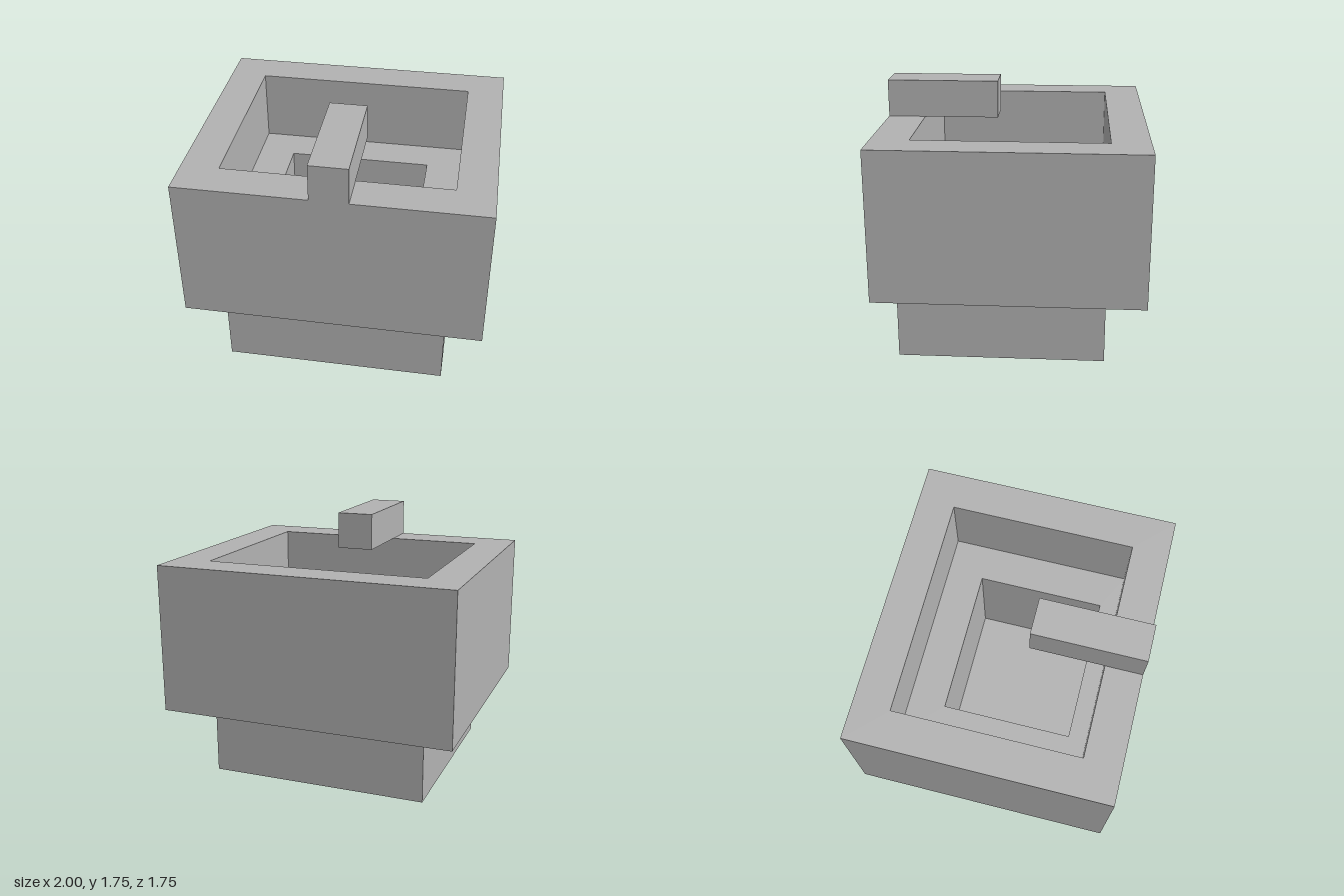
import * as THREE from 'three';
import { mergeGeometries } from 'three/addons/utils/BufferGeometryUtils.js';

// Rectangles in plan: half width, back z, front z
const BODY = { x: 1, z0: -0.875, z1: 0.875 };
const BASE = { x: 0.75, z0: -0.625, z1: 0.75 };
const BASIN = { x: 0.75, z0: -0.625, z1: 0.625 };
const WELL = { x: 0.5, z0: -0.375, z1: 0.5 };

const corners = ({ x, z0, z1 }) => [[-x, z1], [x, z1], [x, z0], [-x, z0]];

// Four upright faces around a rectangle, facing outward or inward
function walls(rect, y0, y1, inward = false) {
  const c = corners(rect);
  if (inward) c.reverse();
  const p = [];
  c.forEach(([ax, az], i) => {
    const [bx, bz] = c[(i + 1) % 4];
    p.push(ax, y0, az, bx, y0, bz, bx, y1, bz);
    p.push(ax, y0, az, bx, y1, bz, ax, y1, az);
  });
  const g = new THREE.BufferGeometry();
  g.setAttribute('position', new THREE.Float32BufferAttribute(p, 3));
  g.computeVertexNormals();
  return g;
}

// Level face at height y, with an optional rectangular opening
function level(rect, y, hole = null, down = false) {
  const s = down ? 1 : -1;
  const points = (r) => corners(r).map(([x, z]) => new THREE.Vector2(x, s * z));
  const shape = new THREE.Shape(points(rect));
  if (hole) shape.holes.push(new THREE.Path(points(hole)));
  const g = new THREE.ShapeGeometry(shape).toNonIndexed();
  g.deleteAttribute('uv');
  return g.rotateX(s * Math.PI / 2).translate(0, y, 0);
}

export function createModel() {
  const model = new THREE.Group();
  const stone = new THREE.MeshStandardMaterial({ color: 0xb2b2b2 });
  stone.name = 'grey stone';

  const add = (name, ...parts) => {
    const mesh = new THREE.Mesh(parts.length > 1 ? mergeGeometries(parts) : parts[0], stone);
    mesh.name = name;
    model.add(mesh);
    return mesh;
  };

  // Wide upper block: outer sides, rim and underside
  add('body', walls(BODY, 0.5, 1.5), level(BODY, 1.5, BASIN), level(BODY, 0.5, BASE, true));

  // Narrower foot
  add('base', walls(BASE, 0, 0.5), level(BASE, 0, null, true));

  // Upper recess with its ledge, then the smaller recess below it
  add('basin', walls(BASIN, 1, 1.5, true), level(BASIN, 1, WELL));
  add('well', walls(WELL, 0.25, 1, true), level(WELL, 0.25));

  // Bar resting on the front rim and reaching over the basin
  add('spout', new THREE.BoxGeometry(0.25, 0.25, 0.75)).position.set(0, 1.625, 0.5);

  return model;
}
